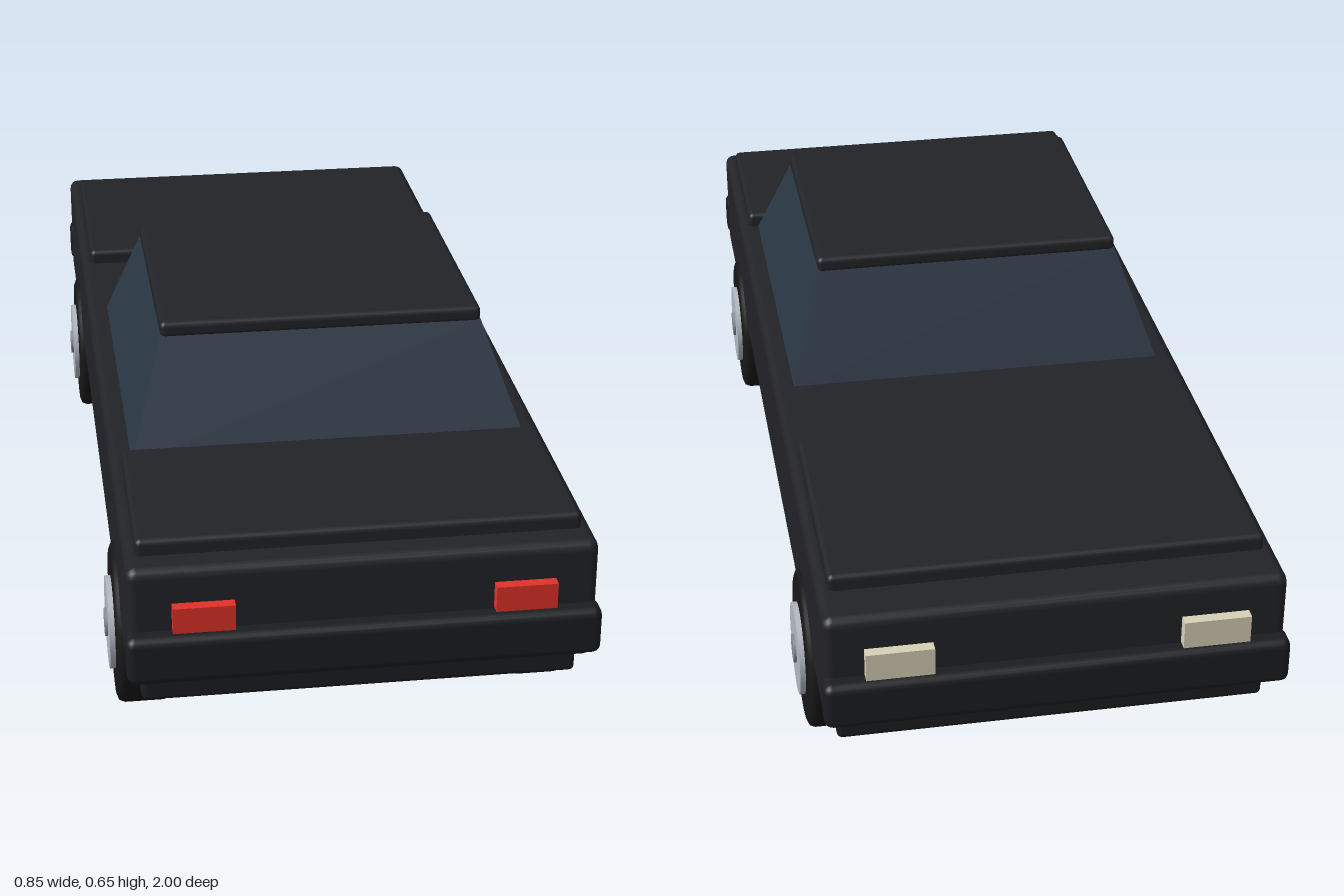
import * as THREE from 'three';
import { RoundedBoxGeometry } from 'three/addons/geometries/RoundedBoxGeometry.js';

const mat = (color) => new THREE.MeshStandardMaterial({ color });

export function createModel() {
  const car = new THREE.Group();
  car.name = 'car';
  const paint = mat(0x222327), trim = mat(0x1c1d21), glass = mat(0x2a3644);
  const rubber = mat(0x171717), metal = mat(0xb4b8c2), hubGrey = mat(0x8a8e96);
  const red = mat(0xe03228), cream = mat(0xd8d0b8);

  const add = (parent, name, geometry, material) => {
    const mesh = new THREE.Mesh(geometry, material);
    mesh.name = name;
    parent.add(mesh);
    return mesh;
  };

  // Box given by half width, y range, z range and edge radius
  const slab = (name, hx, y0, y1, z0, z1, r, material) => {
    const geo = new RoundedBoxGeometry(2 * hx, y1 - y0, z1 - z0, 2, r);
    add(car, name, geo, material).position.set(0, (y0 + y1) / 2, (z0 + z1) / 2);
  };

  // Lower body and panels
  slab('body', 0.403, 0.205, 0.43, -0.968, 0.968, 0.018, paint);
  slab('sill', 0.38, 0.155, 0.225, -0.932, 0.932, 0.01, trim);
  slab('rearBumper', 0.407, 0.228, 0.315, -1, -0.945, 0.015, trim);
  slab('frontBumper', 0.407, 0.228, 0.315, 0.945, 1, 0.015, trim);
  slab('frontDeck', 0.383, 0.415, 0.458, 0.562, 0.914, 0.01, paint);
  slab('rearDeck', 0.383, 0.415, 0.458, -0.878, -0.412, 0.01, paint);
  slab('roof', 0.298, 0.62, 0.65, -0.065, 0.448, 0.01, paint);

  // Glass cabin: a box tapered towards the roof
  const cabin = new THREE.BoxGeometry(1, 1, 1);
  const p = cabin.attributes.position;
  for (let i = 0; i < p.count; i++) {
    const top = p.getY(i) > 0, front = p.getZ(i) > 0;
    p.setXYZ(i,
      Math.sign(p.getX(i)) * (top ? 0.298 : 0.365),
      top ? 0.625 : 0.425,
      front ? (top ? 0.445 : 0.565) : (top ? -0.062 : -0.172));
  }
  cabin.computeVertexNormals();
  add(car, 'cabinGlass', cabin, glass);

  // Wheel profile: tyre with chamfered shoulders
  const R = 0.147;
  const tyreGeo = new THREE.LatheGeometry([
    [0, -0.049], [R - 0.014, -0.049], [R - 0.004, -0.045], [R, -0.035],
    [R, 0.035], [R - 0.004, 0.045], [R - 0.014, 0.049], [0, 0.049],
  ].map(([x, y]) => new THREE.Vector2(x, y)), 32);
  const rimGeo = new THREE.CylinderGeometry(0.085, 0.085, 0.03, 32);
  const hubGeo = new THREE.CylinderGeometry(0.026, 0.026, 0.03, 20);

  for (const side of [-1, 1]) {
    const label = side > 0 ? 'left' : 'right';
    for (const end of [-1, 1]) {
      const wheel = new THREE.Group();
      wheel.name = label + (end > 0 ? 'FrontWheel' : 'RearWheel');
      add(wheel, 'tyre', tyreGeo, rubber);
      add(wheel, 'rim', rimGeo, metal).position.y = 0.044;
      add(wheel, 'hubCap', hubGeo, hubGrey).position.y = 0.049;
      wheel.rotation.z = -side * Math.PI / 2;
      wheel.position.set(side * 0.363, R, end * 0.641);
      car.add(wheel);

      // Lamps: red at +z, cream at -z
      const w = end > 0 ? 0.106 : 0.118;
      const lamp = add(car, label + (end > 0 ? 'FrontLamp' : 'RearLamp'),
        new THREE.BoxGeometry(w, end > 0 ? 0.047 : 0.052, 0.03), end > 0 ? red : cream);
      lamp.position.set(side * 0.275, 0.343, end * 0.973);
    }
  }
  return car;
}
